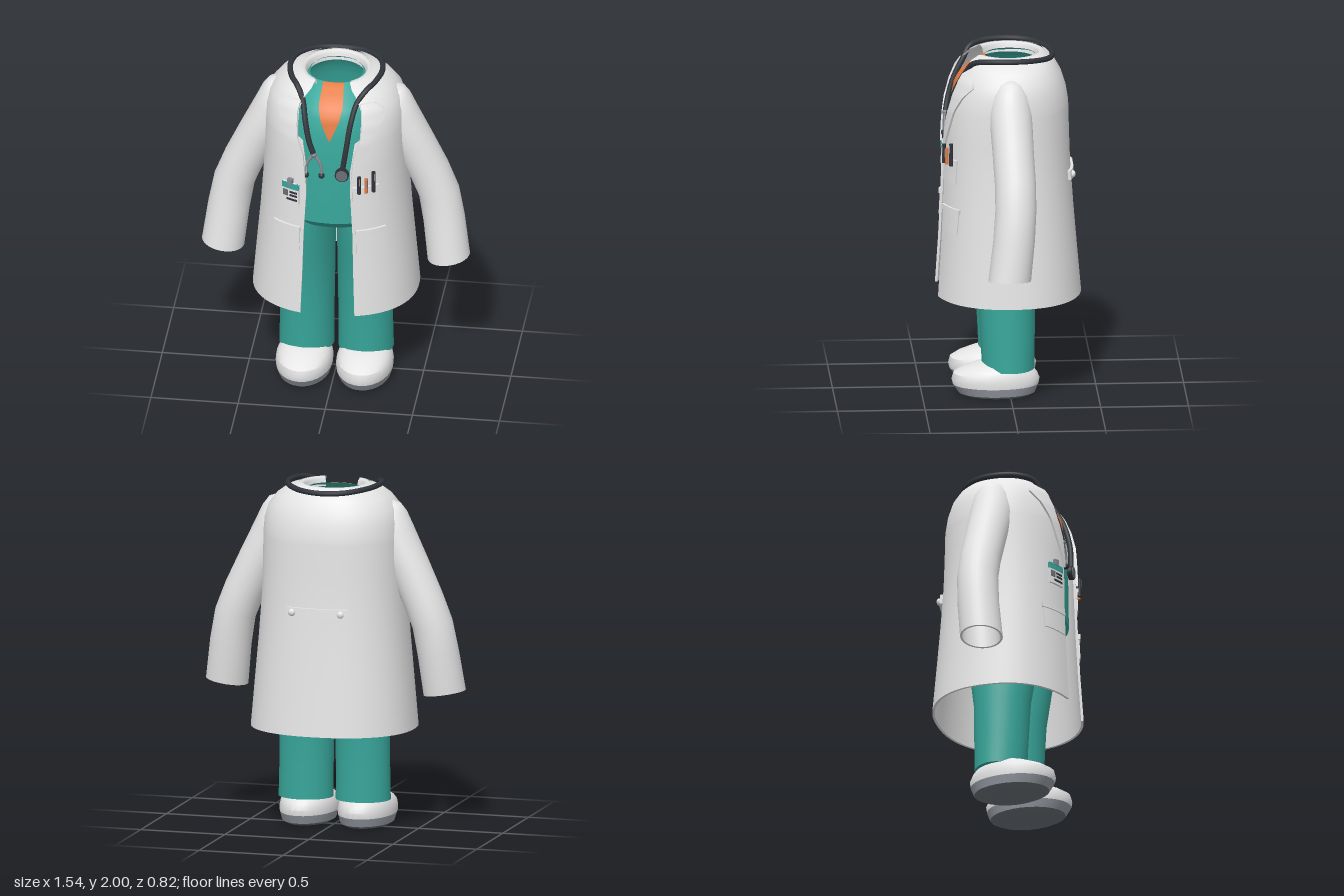
import * as THREE from 'three';
import { toCreasedNormals } from 'three/addons/utils/BufferGeometryUtils.js';

const mat = (name, color) => {
  const m = new THREE.MeshStandardMaterial({ color, side: THREE.DoubleSide });
  m.name = name;
  return m;
};
const V = (x, y, z) => new THREE.Vector3(x, y, z);

// Skin a list of rings (bottom to top, counterclockwise from above)
function loft(rings, { closed = true, capBottom = false, capTop = false, crease = 0.8 } = {}) {
  const n = rings[0].length, pos = [], idx = [];
  rings.forEach(r => r.forEach(p => pos.push(p.x, p.y, p.z)));
  for (let i = 0; i < rings.length - 1; i++) {
    for (let j = 0; j < (closed ? n : n - 1); j++) {
      const k = (j + 1) % n, a = i * n + j, b = i * n + k;
      idx.push(a, b, b + n, a, b + n, a + n);
    }
  }
  const cap = (row, up) => {
    const c = rings[row].reduce((s, p) => s.add(p), V(0, 0, 0)).divideScalar(n);
    const ci = pos.push(c.x, c.y, c.z) / 3 - 1;
    for (let j = 0; j < n; j++) {
      const a = row * n + j, b = row * n + (j + 1) % n;
      up ? idx.push(a, b, ci) : idx.push(b, a, ci);
    }
  };
  if (capBottom) cap(0, false);
  if (capTop) cap(rings.length - 1, true);
  const g = new THREE.BufferGeometry();
  g.setAttribute('position', new THREE.Float32BufferAttribute(pos, 3));
  g.setIndex(idx);
  return toCreasedNormals(g, crease);
}

// Linear lookup in rows sorted by their first value
function at(rows, y) {
  let i = 0;
  while (i < rows.length - 2 && y > rows[i + 1][0]) i++;
  const t = THREE.MathUtils.clamp((y - rows[i][0]) / (rows[i + 1][0] - rows[i][0]), 0, 1);
  return rows[i].map((v, k) => THREE.MathUtils.lerp(v, rows[i + 1][k], t));
}

// Garments have slightly squared oval sections with this exponent
const E = 2.25;
// y, half width, front depth, back depth, half width of the front opening
const COAT = [
  [0.58, 0.475, 0.423, 0.415, 0.155], [0.85, 0.452, 0.405, 0.391, 0.146], [1.1, 0.43, 0.393, 0.37, 0.14],
  [1.35, 0.412, 0.383, 0.352, 0.126], [1.52, 0.407, 0.378, 0.346, 0.126], [1.68, 0.405, 0.367, 0.342, 0.148],
  [1.7, 0.404, 0.363, 0.341, 0.176], [1.78, 0.398, 0.343, 0.328, 0.18], [1.86, 0.376, 0.31, 0.302, 0.178],
  [1.92, 0.328, 0.27, 0.268, 0.15], [1.96, 0.272, 0.23, 0.238, 0.115], [1.983, 0.21, 0.19, 0.205, 0.1]];
const SHIRT = [
  [1.08, 0.28, 0.275, 0.23], [1.145, 0.33, 0.346, 0.28], [1.4, 0.33, 0.343, 0.28], [1.58, 0.32, 0.333, 0.275],
  [1.7, 0.305, 0.32, 0.265], [1.8, 0.28, 0.3, 0.24], [1.85, 0.255, 0.273, 0.225], [1.9, 0.215, 0.22, 0.2], [1.955, 0.15, 0.13, 0.16]];

// Point of an oval section with exponent e, angle 0 at the front
const oval = (t, a, bf, bb, e) => {
  const s = Math.sin(t), c = Math.cos(t), k = 2 / e;
  return [a * Math.sign(s) * Math.abs(s) ** k, (c > 0 ? bf : bb) * Math.sign(c) * Math.abs(c) ** k];
};
const ring = (cx, y, cz, a, bf, bb, n = 40, e = 2) => Array.from({ length: n }, (_, j) => {
  const [x, z] = oval(j / n * Math.PI * 2, a, bf, bb, e);
  return V(cx + x, y, cz + z);
});

// Point on the front (s = 1) or back (s = -1) of a garment, pushed outward
function onSurface(prof, x, y, off, s = 1) {
  const r = at(prof, y), a = r[1], b = s > 0 ? r[2] : r[3];
  const u = Math.min(1, Math.abs(x) / a), w = (1 - u ** E) ** (1 / E);
  const normal = V(Math.sign(x) * u ** (E - 1) / a, 0, s * w ** (E - 1) / b).normalize();
  return V(x, y, s * b * w).addScaledVector(normal, off);
}

// Thin raised panel following a garment; rows are [y, x0, x1], bottom to top
function panel(prof, rows, off, s = 1, nx = 8) {
  const rings = [], steps = Math.max(2, Math.ceil((rows.at(-1)[0] - rows[0][0]) / 0.02));
  const section = ([y, x0, x1], o) => {
    const [p, q] = s > 0 ? [x0, x1] : [x1, x0];
    const top = Array.from({ length: nx + 1 }, (_, i) => onSurface(prof, p + (q - p) * i / nx, y, o, s));
    return [onSurface(prof, p, y, 0, s), ...top, onSurface(prof, q, y, 0, s)];
  };
  for (let i = 0; i <= steps; i++) {
    const r = at(rows, rows[0][0] + (rows.at(-1)[0] - rows[0][0]) * i / steps);
    if (i === 0) rings.push(section(r, 0));
    rings.push(section(r, off));
    if (i === steps) rings.push(section(r, 0));
  }
  return loft(rings, { closed: false, crease: 0.6 });
}

export function createModel() {
  const white = mat('white cloth', 0xe5e5e5), teal = mat('teal cloth', 0x38a79b), skin = mat('orange undershirt', 0xe57c44);
  const black = mat('black rubber', 0x30343a), metal = mat('grey metal', 0x858b92);
  const soleGrey = mat('sole grey', 0x979da5), soleDark = mat('dark sole', 0x6a6f76);
  const model = new THREE.Group();
  const add = (name, geo, m, p) => {
    const mesh = new THREE.Mesh(geo, m);
    mesh.name = name;
    if (p) mesh.position.copy(p);
    model.add(mesh);
    return mesh;
  };
  const patch = (name, y0, y1, x0, x1, off, m, s = 1) =>
    add(name, panel(COAT, [[y0, x0, x1], [y1, x0, x1]], off, s), m);

  // Open coat with an inner lining
  const N = 60, outer = [], inner = [];
  COAT.forEach(([y, a, bf, bb, w]) => {
    const arc = d => Array.from({ length: N + 1 }, (_, j) => {
      const t0 = Math.asin((w / (a - d)) ** (E / 2));
      const [x, z] = oval(t0 + (2 * Math.PI - 2 * t0) * j / N, a - d, bf - d, bb - d, E);
      return V(x, y, z);
    });
    outer.push(arc(0));
    inner.push(arc(0.014));
  });
  add('coat', loft(outer.map((o, i) => [...o, ...inner[i].slice().reverse()])), white);
  add('coatHem', loft([inner[0], outer[0]], { closed: false }), white);

  // Standing collar, open at the front
  const collar = [[0.164, 1.93], [0.17, 1.97], [0.182, 1.986], [0.2, 1.984], [0.212, 1.97]].map(p => new THREE.Vector2(...p));
  add('collar', new THREE.LatheGeometry(collar, 40, 0.6, Math.PI * 2 - 1.2), white);

  // Scrub shirt and the undershirt in its neckline
  add('shirt', loft(SHIRT.map(([y, a, f, b]) => ring(0, y, 0, a, f, b, 48, E)), { capBottom: true, crease: 0.7 }), teal);
  add('undershirt', panel(SHIRT, [[1.68, -0.003, 0.003], [1.79, -0.05, 0.05], [1.87, -0.068, 0.068], [1.955, -0.058, 0.058]], 0.008), skin);

  // Paired parts
  const SLEEVE = [ // x, y, z, radius, tilt
    [0.585, 1.2, -0.01, 0.104, 0.2], [0.617, 1.03, 0, 0.106, 0.12], [0.647, 0.797, 0.027, 0.11, 0.15],
    [0.647, 0.797, 0.027, 0.122, 0.15], [0.617, 1.03, 0, 0.119, 0.14], [0.586, 1.2, -0.012, 0.117, 0.22],
    [0.53, 1.34, -0.012, 0.117, 0.36], [0.445, 1.52, -0.003, 0.118, 0.42], [0.354, 1.7, 0.005, 0.122, 0.42],
    [0.327, 1.79, 0.005, 0.108, 0.46], [0.318, 1.845, 0.004, 0.08, 0.5], [0.312, 1.882, 0.003, 0.035, 0.5]];
  const LEG = [ // y, centre x, half width, front, back
    [0.16, 0.17, 0.158, 0.158, 0.14], [0.35, 0.168, 0.155, 0.167, 0.143], [0.58, 0.165, 0.156, 0.18, 0.146],
    [0.85, 0.158, 0.152, 0.225, 0.18], [1.08, 0.153, 0.151, 0.272, 0.22], [1.14, 0.15, 0.149, 0.275, 0.23]];
  const SHOE = [ // y, half width, heel z, toe z
    [0.005, 0.125, -0.115, 0.255], [0.02, 0.148, -0.145, 0.293], [0.068, 0.161, -0.165, 0.325],
    [0.1, 0.163, -0.17, 0.332], [0.135, 0.157, -0.155, 0.322], [0.16, 0.145, -0.135, 0.28], [0.185, 0.123, -0.1, 0.21], [0.199, 0.09, -0.06, 0.165]];
  const shoeRing = (s, [y, a, z0, z1]) => ring(s * 0.173, y, (z0 + z1) / 2, a, (z1 - z0) / 2, (z1 - z0) / 2, 28);
  for (const s of [1, -1]) {
    const side = s > 0 ? 'left' : 'right';
    add(side + 'Sleeve', loft(SLEEVE.map(([x, y, z, r, t]) => Array.from({ length: 28 }, (_, j) => {
      const q = j / 28 * Math.PI * 2, u = r * Math.sin(q);
      return V(s * x + Math.cos(t) * u, y + s * Math.sin(t) * u, z + r * Math.cos(q));
    })), { capTop: true, crease: 0.9 }), white);
    add(side + 'TrouserLeg', loft(LEG.map(([y, x, a, f, b]) => ring(s * x, y, 0, a, f, b, 32)), { capTop: true, capBottom: true }), teal);
    add(side + 'SoleBottom', loft(SHOE.slice(0, 2).map(r => shoeRing(s, r)), { capBottom: true }), soleDark);
    add(side + 'SoleRim', loft(SHOE.slice(1, 3).map(r => shoeRing(s, r))), soleGrey);
    add(side + 'Shoe', loft(SHOE.slice(2).map(r => shoeRing(s, r)), { capTop: true, crease: 0.6 }), white);

    // Lapel and hip pocket
    const flip = rows => rows.map(([y, i, o]) => s > 0 ? [y, i, o] : [y, -o, -i]);
    add(side + 'Lapel', panel(COAT, flip([[1.42, 0.127, 0.134], [1.6, 0.142, 0.205], [1.7, 0.176, 0.24], [1.78, 0.182, 0.275], [1.85, 0.182, 0.31], [1.9, 0.168, 0.24]]), 0.013), white);
    add(side + 'HipPocket', panel(COAT, flip([[0.98, 0.162, 0.31], [1.11, 0.162, 0.31]]), 0.007), white);
    add(side + 'PocketFlap', panel(COAT, flip([[1.1, 0.158, 0.314], [1.13, 0.158, 0.314]]), 0.014), white);
  }

  // Chest pocket with pens
  patch('chestPocket', 1.27, 1.4, 0.14, 0.275, 0.008, white);
  patch('chestPocketBand', 1.385, 1.41, 0.138, 0.278, 0.014, white);
  [[0.172, 1.485, black, 0.0115], [0.208, 1.47, skin, 0.0095], [0.246, 1.505, black, 0.0115]].forEach(([x, top, m, r], i) => {
    add('pen' + i, new THREE.CylinderGeometry(r, r, top - 1.375, 10), m, onSurface(COAT, x, (top + 1.375) / 2, 0.021));
    add('penClip' + i, new THREE.BoxGeometry(0.006, 0.045, 0.005), metal, onSurface(COAT, x, top - 0.03, 0.033));
  });

  // Badge with a coloured header and printed bars
  patch('badge', 1.275, 1.4, -0.262, -0.165, 0.012, white);
  patch('badgeHeader', 1.365, 1.4, -0.262, -0.165, 0.016, teal);
  patch('badgePhoto', 1.315, 1.352, -0.254, -0.228, 0.016, soleDark);
  [[1.338, -0.218], [1.318, -0.218], [1.292, -0.235]].forEach(([y, x], i) => patch('badgeBar' + i, y, y + 0.011, x, -0.174, 0.016, black));
  patch('badgeClip', 1.392, 1.43, -0.228, -0.202, 0.02, metal);

  // Back belt with two buttons
  patch('backBelt', 1.26, 1.314, -0.18, 0.18, 0.016, white, -1);
  for (const x of [-0.14, 0.14]) {
    const b = add('beltButton', new THREE.SphereGeometry(0.021, 16, 10), white, onSurface(COAT, x, 1.287, 0.02, -1));
    b.scale.z = 0.7;
  }

  // Stethoscope
  const half = [[0.24, 1.98, 0.13], [0.264, 1.984, 0], [0.232, 1.98, -0.13], [0.13, 1.968, -0.225]];
  const tube = [[0.078, 1.5, 0.354], [0.1, 1.65, 0.342], [0.12, 1.79, 0.304], [0.15, 1.9, 0.248], [0.195, 1.96, 0.208], ...half, [0, 1.962, -0.252],
    ...half.map(([x, y, z]) => [-x, y, z]).reverse(),
    [-0.195, 1.96, 0.208], [-0.163, 1.9, 0.245], [-0.14, 1.79, 0.302], [-0.115, 1.68, 0.336], [-0.085, 1.6, 0.352]];
  const run = (name, pts, r, m, n) => add(name, new THREE.TubeGeometry(new THREE.CatmullRomCurve3(pts.map(p => V(...p))), n, r, 10), m);
  run('stethoscopeTube', tube, 0.016, black, 120);
  add('tubeJoint', new THREE.SphereGeometry(0.018, 12, 8), metal, V(-0.085, 1.6, 0.352));
  for (const s of [1, -1]) {
    run('earTube', [[-0.085, 1.6, 0.352], [-0.085 + s * 0.028, 1.565, 0.355], [-0.085 + s * 0.044, 1.52, 0.357], [-0.085 + s * 0.045, 1.47, 0.357]], 0.009, metal, 16);
    add('earTip', new THREE.SphereGeometry(0.018, 14, 10), black, V(-0.085 + s * 0.045, 1.468, 0.357));
  }
  const disc = (name, r, h, z, m) => { add(name, new THREE.CylinderGeometry(r, r, h, 24), m, V(0.077, 1.48, z)).rotation.x = Math.PI / 2; };
  disc('chestPiece', 0.04, 0.026, 0.355, black);
  disc('chestPieceFace', 0.033, 0.006, 0.37, soleDark);
  return model;
}
